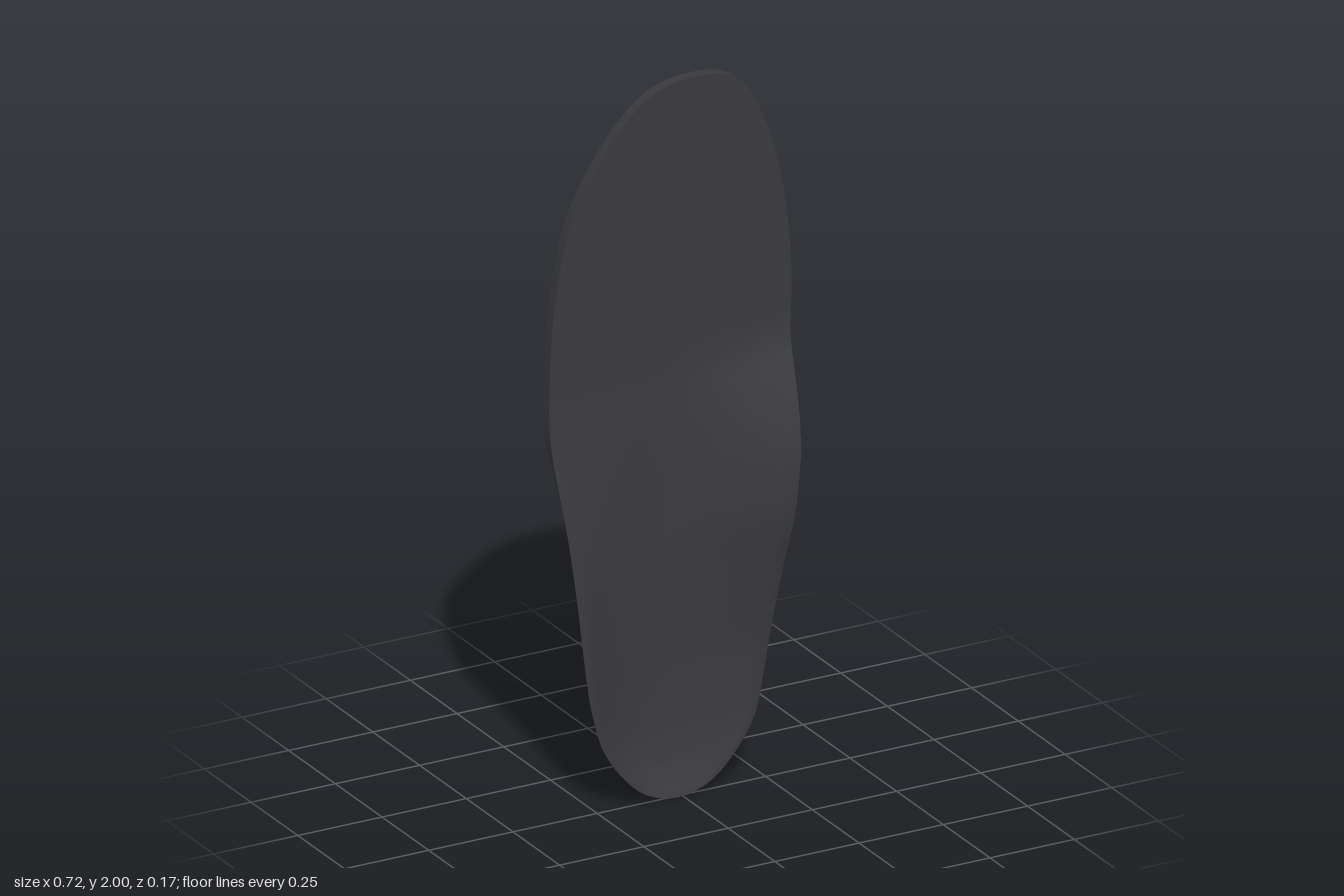
import * as THREE from 'three';
import { toCreasedNormals } from 'three/addons/utils/BufferGeometryUtils.js';

// Outline stations: y, lateral x, medial x
const OUTLINE = [
  [0.005, -0.015, -0.015], [0.01, -0.055, 0.025], [0.025, -0.098, 0.068], [0.05, -0.137, 0.107],
  [0.1, -0.185, 0.155], [0.15, -0.22, 0.19], [0.2, -0.245, 0.215], [0.3, -0.272, 0.236],
  [0.4, -0.288, 0.25], [0.6, -0.308, 0.271], [0.8, -0.328, 0.295], [1.0, -0.355, 0.32],
  [1.1, -0.362, 0.333], [1.2, -0.361, 0.349], [1.4, -0.35, 0.357], [1.6, -0.315, 0.338],
  [1.7, -0.279, 0.32], [1.8, -0.222, 0.292], [1.9, -0.145, 0.25], [1.95, -0.09, 0.216],
  [1.98, -0.04, 0.18], [1.995, 0.015, 0.13], [2.0, 0.07, 0.07],
];

// Relief stations: y, lateral rim z, medial rim z, floor z, lateral undercut, medial undercut
const RELIEF = [
  [0, 0.01, 0.01, 0.01, 0, 0],
  [0.05, 0.01, 0.01, -0.012, 0.02, 0.02],
  [0.1, 0.01, 0.01, -0.032, 0.035, 0.04],
  [0.2, 0.01, 0.01, -0.047, 0.05, 0.07],
  [0.35, 0.01, 0.014, -0.05, 0.055, 0.09],
  [0.6, 0, 0.05, -0.05, 0.05, 0.15],
  [0.8, -0.02, 0.085, -0.05, 0.03, 0.21],
  [0.9, -0.032, 0.082, -0.05, 0.02, 0.2],
  [1.0, -0.045, 0.06, -0.051, 0.01, 0.16],
  [1.1, -0.053, 0.015, -0.053, 0, 0.1],
  [1.2, -0.055, -0.042, -0.055, 0, 0.03],
  [1.26, -0.055, -0.055, -0.055, 0, 0],
  [2, -0.055, -0.055, -0.055, 0, 0],
];
const BACK = -0.087;

// Monotone cubic interpolation of one column of a station table
function sample(table, col, y) {
  let k = 0;
  while (k < table.length - 2 && y > table[k + 1][0]) k++;
  const slope = (i) => (i < 0 || i > table.length - 2 ? 0
    : (table[i + 1][col] - table[i][col]) / (table[i + 1][0] - table[i][0]));
  const tangent = (i) => {
    const a = slope(i - 1), b = slope(i);
    return a * b <= 0 ? 0 : (2 * a * b) / (a + b);
  };
  const h = table[k + 1][0] - table[k][0];
  const t = THREE.MathUtils.clamp((y - table[k][0]) / h, 0, 1);
  const t2 = t * t, t3 = t2 * t;
  return (2 * t3 - 3 * t2 + 1) * table[k][col] + (t3 - 2 * t2 + t) * h * tangent(k)
    + (3 * t2 - 2 * t3) * table[k + 1][col] + (t3 - t2) * h * tangent(k + 1);
}

// One closed cross-section: top surface, medial wall, back, lateral wall
function section(y, xL, xR) {
  const [zL, zR, floor, inL, inR] = [1, 2, 3, 4, 5].map((c) => sample(RELIEF, c, y));
  const width = xR - xL, centre = xL + width * 0.42;
  const heel = Math.max(0, 1 - y / 0.4);
  const yBack = y + 0.065 * heel * heel;
  const bL = xL + Math.min(inL, width * 0.3), bR = xR - Math.min(inR, width * 0.7);
  const ring = [];

  const TOP = 44, WALL = 4, BASE = 6;
  for (let j = 0; j <= TOP; j++) {
    const x = xL + (width * j) / TOP;
    const medial = x > centre;
    const reach = (medial ? xR - centre : centre - xL) * 0.92 || 1;
    const d = Math.min(1, Math.abs(x - centre) / reach);
    ring.push([x, y, floor + ((medial ? zR : zL) - floor) * Math.pow(d, medial ? 1.75 : 2.3)]);
  }
  const wall = (x0, x1, z0, z1, y0, y1) => {
    for (let j = 1; j <= WALL; j++) {
      const t = j / WALL;
      ring.push([x0 + (x1 - x0) * t, y0 + (y1 - y0) * t, z0 + (z1 - z0) * t]);
    }
  };
  wall(xR, bR, zR, BACK, y, yBack);
  for (let j = 1; j <= BASE; j++) ring.push([bR + ((bL - bR) * j) / BASE, yBack, BACK]);
  wall(bL, xL, BACK, zL, yBack, y);
  return ring;
}

// Skin the sections into one closed body
function insoleGeometry() {
  const path = new THREE.CatmullRomCurve3(
    OUTLINE.map(([y, l, r]) => new THREE.Vector3(l, y, r)), false, 'centripetal');
  const rows = [], PER = 7, last = (OUTLINE.length - 1) * PER;
  for (let i = 0; i <= last; i++) {
    const p = path.getPoint(i / last);
    rows.push(section(p.y, p.x, Math.max(p.x, p.z)));
  }
  const n = rows[0].length, index = [];
  for (let i = 0; i < last; i++) {
    for (let j = 0; j < n - 1; j++) {
      const a = i * n + j, b = a + 1, c = a + n, d = c + 1;
      index.push(a, b, d, a, d, c);
    }
  }
  const geometry = new THREE.BufferGeometry();
  geometry.setAttribute('position', new THREE.Float32BufferAttribute(rows.flat(2), 3));
  geometry.setIndex(index);
  return toCreasedNormals(geometry, 0.5);
}

export function createModel() {
  const model = new THREE.Group();
  model.name = 'insole';
  const body = new THREE.Mesh(insoleGeometry(), new THREE.MeshStandardMaterial({ color: 0x3a3a3d }));
  body.name = 'insoleBody';
  model.add(body);
  return model;
}
